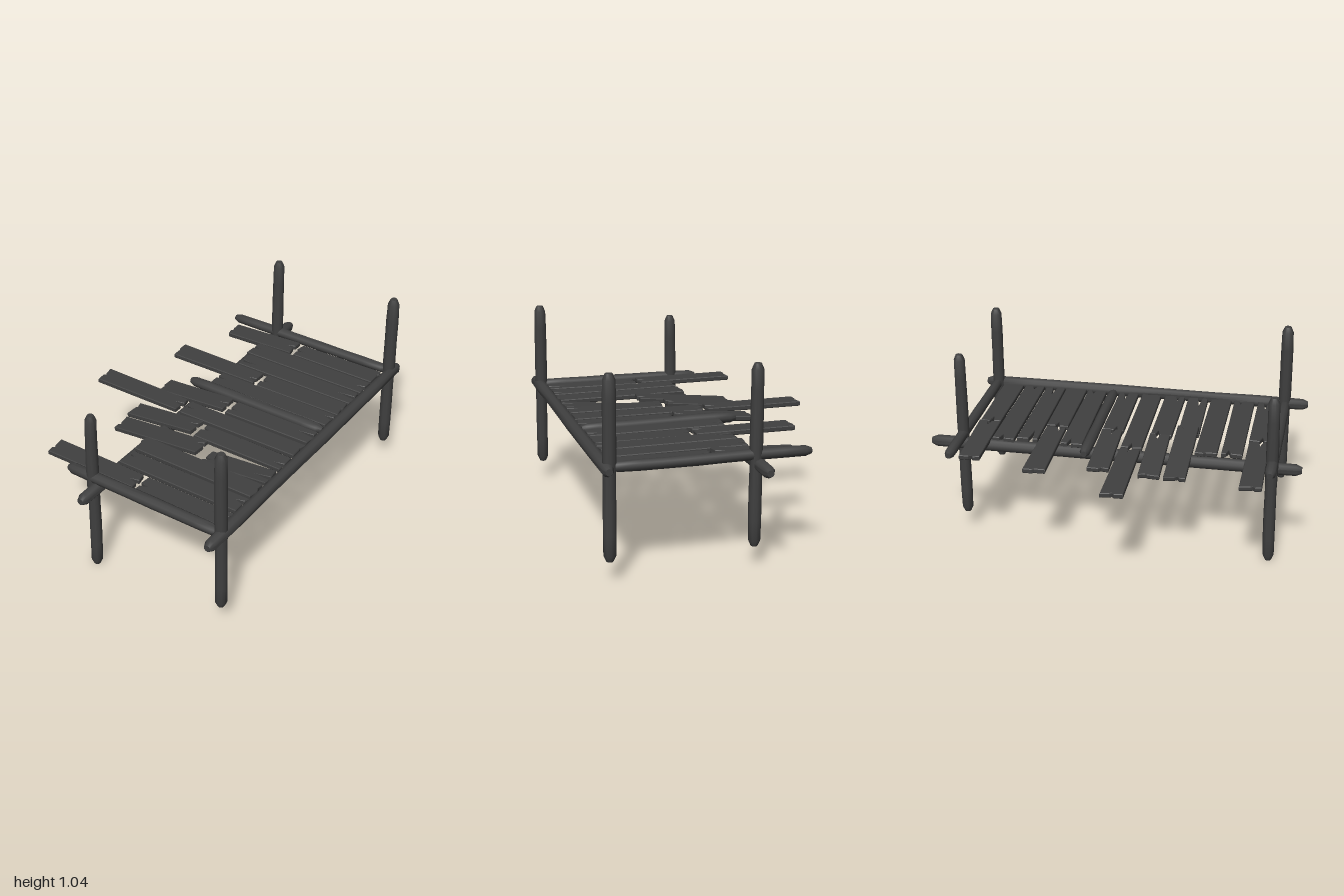
import * as THREE from 'three';
import { toCreasedNormals } from 'three/addons/utils/BufferGeometryUtils.js';

const wood = new THREE.MeshStandardMaterial({ color: 0x404040 });

// Small repeatable random source
function seeded(seed) {
  let s = seed * 7919 + 13;
  const next = () => {
    s = (s * 16807) % 2147483647;
    return s / 2147483647;
  };
  next();
  return next;
}

// Rough round log from a to b, with chamfered ends and a slight bow
function log(name, a, b, r, seed) {
  const rnd = seeded(seed);
  const start = new THREE.Vector3(...a);
  const dir = new THREE.Vector3(...b).sub(start);
  const len = dir.length();
  const profile = [[0, 0], [r * 0.55, 0], [r * 0.95, 0.03]];
  for (let i = 1; i < 7; i++) profile.push([r * (0.95 + rnd() * 0.1), (len * i) / 7]);
  profile.push([r * 0.95, len - 0.03], [r * 0.55, len], [0, len]);
  const geo = new THREE.LatheGeometry(profile.map(([x, y]) => new THREE.Vector2(x, y)), 10);
  const p = geo.attributes.position;
  const bow = (rnd() - 0.5) * 0.006;
  for (let i = 0; i < p.count; i++) {
    const k = Math.sin((p.getY(i) / len) * Math.PI * 2) * bow;
    p.setX(i, p.getX(i) + k);
    p.setZ(i, p.getZ(i) - k);
  }
  const mesh = new THREE.Mesh(toCreasedNormals(geo, 0.75), wood);
  mesh.name = name;
  mesh.position.copy(start);
  mesh.quaternion.setFromUnitVectors(new THREE.Vector3(0, 1, 0), dir.normalize());
  return mesh;
}

// Plank along x from height y0 at x0 to y1 at x1, cracked to a depth at each end
function plank(name, [x0, x1], z0, [y0, y1], [crackL, crackR], seed) {
  const rnd = seeded(seed);
  const len = x1 - x0, w = 0.121;
  // Outline of one end, from its z = 0 corner to its far corner
  const end = (x, inward, depth) => {
    const c = w * (0.3 + rnd() * 0.4);
    return [[0, rnd() * 0.007], [0, c - 0.012], [depth, c], [0, c + 0.012], [0, w - rnd() * 0.007]]
      .map(([d, z]) => new THREE.Vector2(x + inward * (d + rnd() * 0.013), -z));
  };
  const outline = [...end(0, 1, crackL).reverse(), ...end(len, -1, crackR)];
  const geo = new THREE.ExtrudeGeometry(new THREE.Shape(outline), {
    depth: 0.018, bevelThickness: 0.004, bevelSize: 0.003, bevelOffset: -0.003, bevelSegments: 1,
  });
  geo.rotateX(-Math.PI / 2);
  geo.translate(0, -0.009, 0);
  const mesh = new THREE.Mesh(geo, wood);
  mesh.name = name;
  mesh.position.set(x0, y0, z0);
  mesh.rotation.z = Math.atan2(y1 - y0, len);
  return mesh;
}

export function createModel() {
  const group = new THREE.Group();
  group.name = 'brokenDock';

  // Upright posts
  group.add(
    log('frontRightPost', [-0.162, 0, 0.85], [-0.157, 0.94, 0.84], 0.032, 1),
    log('frontLeftPost', [0.624, 0.11, 0.855], [0.618, 1.04, 0.85], 0.033, 2),
    log('backRightPost', [-0.11, 0.11, -0.825], [-0.116, 1.04, -0.83], 0.032, 3),
    log('backLeftPost', [0.624, 0.11, -0.825], [0.615, 1.04, -0.825], 0.033, 4),
  );

  // Long side beams
  group.add(
    log('leftBeam', [0.63, 0.573, 0.985], [0.636, 0.58, -0.895], 0.033, 5),
    log('rightBeam', [-0.12, 0.523, 1], [-0.128, 0.535, -1], 0.033, 6),
  );

  // Cross logs over the deck
  group.add(
    log('frontCrossLog', [-0.31, 0.567, 0.845], [0.61, 0.575, 0.855], 0.031, 7),
    log('middleCrossLog', [-0.24, 0.575, -0.138], [0.6, 0.577, -0.132], 0.029, 8),
    log('backCrossLog', [-0.4, 0.58, -0.83], [0.61, 0.585, -0.825], 0.028, 9),
  );

  // Deck rows from back to front: outer end, break point, sag of the outer end
  const rows = [
    { from: -0.36, split: 0.075, sag: 0.015 },
    { from: -0.14 },
    { from: -0.12 },
    { from: -0.48, split: 0.07 },
    { from: -0.14 },
    { from: -0.355, split: 0.075, sag: 0.025 },
    { from: -0.68, split: -0.13 },
    { from: -0.37, split: 0.06, sag: 0.035 },
    { from: -0.36, split: 0.185, sag: 0.043, droop: 0.043 },
    { from: -0.13 },
    { from: -0.12 },
    { from: -0.48, split: 0.07 },
  ];
  const deckY = 0.57;
  rows.forEach(({ from, split, sag = 0, droop = 0.004 }, i) => {
    const z = i < 5 ? -0.788 + i * 0.125 : -0.103 + (i - 5) * 0.134;
    const name = 'plankRow' + (i + 1);
    const crack = (i % 3) * 0.045 + 0.005;
    if (split === undefined) {
      group.add(plank(name, [from, 0.6], z, [deckY, deckY], [crack, crack], i + 20));
    } else {
      group.add(
        plank(name + 'Outer', [from, split - 0.004], z, [deckY - sag, deckY + sag * 0.35], [0.01, 0.05], i + 40),
        plank(name + 'Inner', [split + 0.004, 0.6], z, [deckY - droop, deckY], [0.05, crack], i + 60),
      );
    }
  });

  return group;
}
